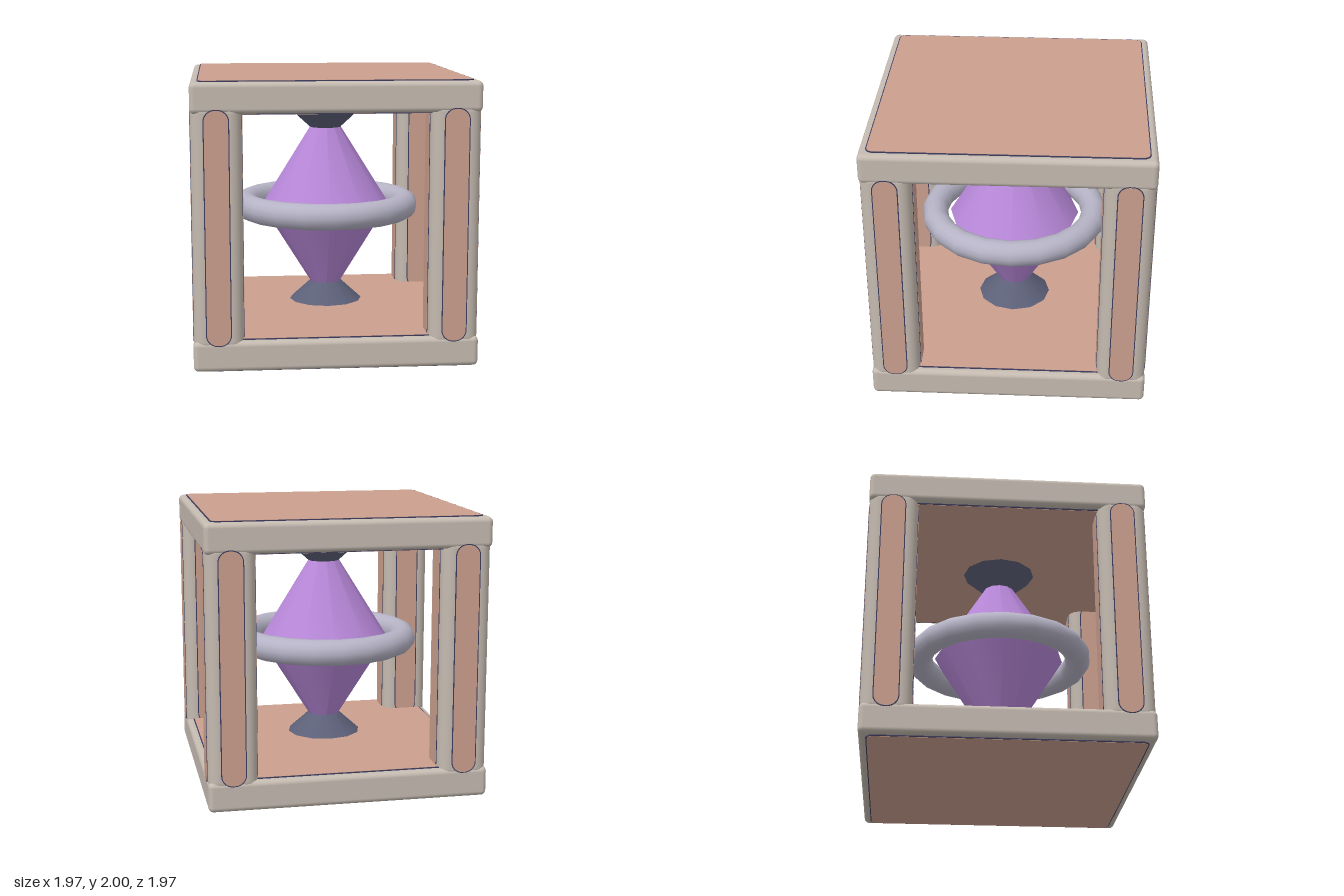
import * as THREE from 'three';
import { RoundedBoxGeometry } from 'three/addons/geometries/RoundedBoxGeometry.js';

const mat = (name, color, side = THREE.FrontSide) => {
  const m = new THREE.MeshStandardMaterial({ color, side });
  m.name = name;
  return m;
};

export function createModel() {
  const stone = mat('warm grey stone', 0xc4bab0);
  const clay = mat('clay pink', 0xcb9f8e);
  const trim = mat('navy trim', 0x3c3c5e);
  const violet = mat('violet crystal', 0xb787d8);
  const silver = mat('silver', 0xb5b3c5);
  const slate = mat('slate blue', 0x5c6078);

  const model = new THREE.Group();
  model.name = 'crystalCage';

  const add = (parent, name, geometry, material, x = 0, y = 0, z = 0) => {
    const mesh = new THREE.Mesh(geometry, material);
    mesh.name = name;
    mesh.position.set(x, y, z);
    parent.add(mesh);
    return mesh;
  };

  // Thin plate with rounded corners, facing +z with its back at z = 0
  const plate = (w, h, r, depth) => {
    const s = new THREE.Shape();
    const x = w / 2, y = h / 2;
    s.moveTo(-x + r, -y);
    s.lineTo(x - r, -y);
    s.absarc(x - r, -y + r, r, -Math.PI / 2, 0);
    s.absarc(x - r, y - r, r, 0, Math.PI / 2);
    s.absarc(-x + r, y - r, r, Math.PI / 2, Math.PI);
    s.absarc(-x + r, -y + r, r, Math.PI, Math.PI * 1.5);
    return new THREE.ExtrudeGeometry(s, { depth, bevelEnabled: false, curveSegments: 8 });
  };

  // Pink inlay with a narrow navy rim
  const inlay = (name, w, h, r, depth) => {
    const g = new THREE.Group();
    g.name = name;
    add(g, 'rim', plate(w, h, r, depth - 0.002), trim);
    add(g, 'face', plate(w - 0.014, h - 0.014, r - 0.007, depth), clay);
    return g;
  };

  // Base and roof slabs, inlaid above and below
  for (const [name, y] of [['baseSlab', 0.115], ['roofSlab', 1.885]]) {
    const slab = new THREE.Group();
    slab.name = name;
    slab.position.y = y;
    add(slab, 'slabBody', new RoundedBoxGeometry(1.97, 0.212, 1.97, 4, 0.036), stone);
    for (const side of [1, -1]) {
      const panel = inlay('slabInlay', 1.87, 1.87, 0.055, 0.0095);
      panel.position.y = side * 0.1055;
      panel.rotation.x = -side * Math.PI / 2;
      slab.add(panel);
    }
    model.add(slab);
  }

  // Four corner pillars, each with an inlay strip on every side
  for (const sx of [1, -1]) {
    for (const sz of [1, -1]) {
      const pillar = new THREE.Group();
      pillar.name = 'pillar';
      pillar.position.set(sx * 0.81, 1, sz * 0.81);
      add(pillar, 'pillarBody', new RoundedBoxGeometry(0.344, 1.72, 0.344, 5, 0.08), stone);
      for (let i = 0; i < 4; i++) {
        const turn = new THREE.Group();
        turn.name = 'pillarSide';
        turn.rotation.y = i * Math.PI / 2;
        const strip = inlay('pillarInlay', 0.176, 1.62, 0.08, 0.007);
        strip.position.z = 0.17;
        turn.add(strip);
        pillar.add(turn);
      }
      model.add(pillar);
    }
  }

  // Double-pointed crystal with a flared collar near each tip
  for (const s of [1, -1]) {
    const half = new THREE.Group();
    half.name = s > 0 ? 'upperCrystal' : 'lowerCrystal';
    half.position.y = 1;
    if (s < 0) half.rotation.x = Math.PI;
    add(half, 'crystal', new THREE.ConeGeometry(0.48, 0.77, 12, 1), violet, 0, 0.385, 0);
    add(half, 'collar', new THREE.CylinderGeometry(0.27, 0.11, 0.145, 12), slate, 0, 0.6525, 0);
    model.add(half);
  }

  // Ring floating around the crystal's waist
  const ring = add(model, 'ring', new THREE.TorusGeometry(0.596, 0.094, 14, 20), silver, 0, 1.005, 0);
  ring.rotation.x = Math.PI / 2;

  return model;
}
